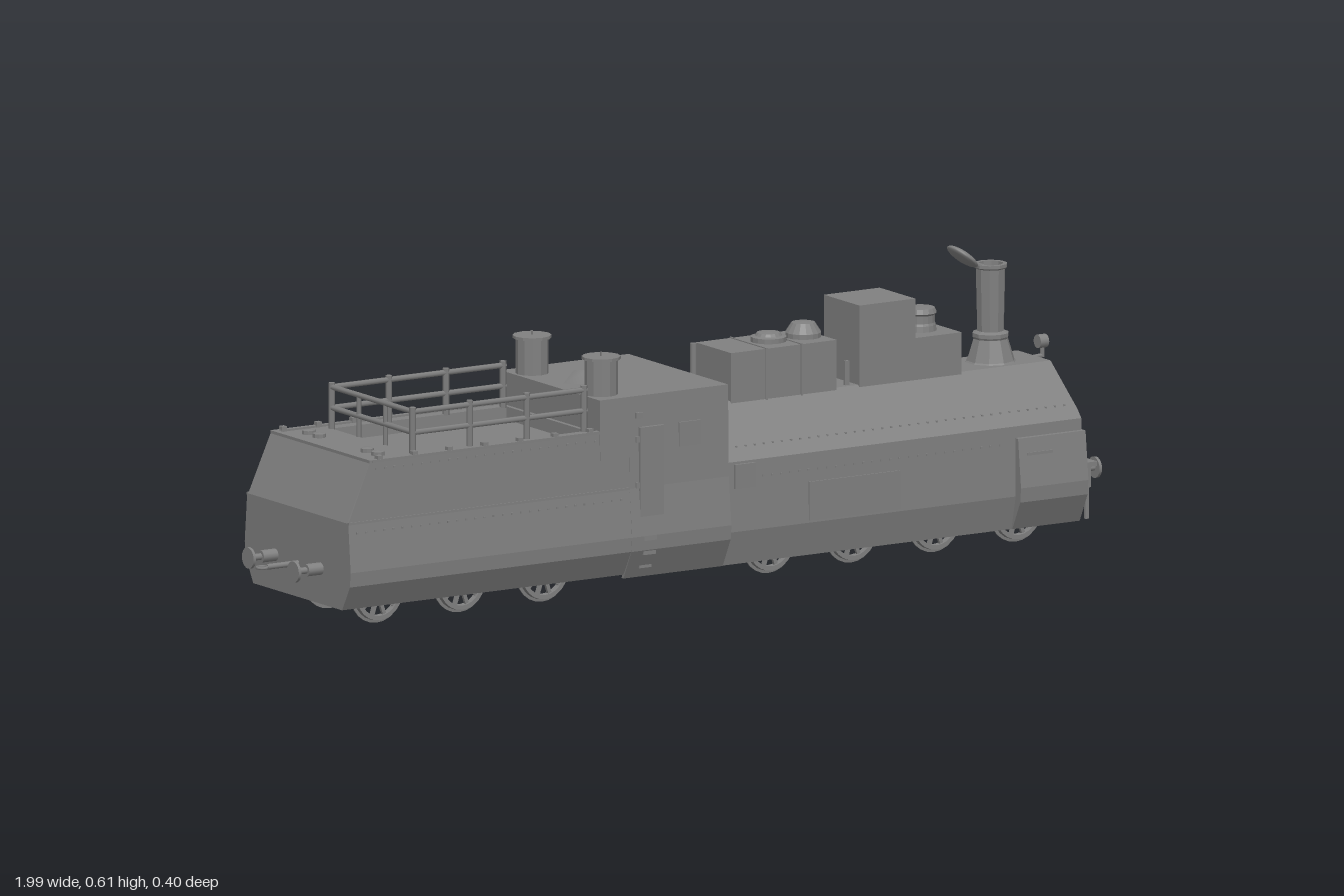
import * as THREE from 'three';
import { mergeGeometries } from 'three/addons/utils/BufferGeometryUtils.js';

const steel = new THREE.MeshStandardMaterial({ color: 0x808080 });
steel.name = 'grey steel';
steel.side = THREE.DoubleSide;

export function createModel() {
  const model = new THREE.Group();
  model.name = 'armouredLocomotive';

  const add = (name, geo, x = 0, y = 0, z = 0) => {
    const m = new THREE.Mesh(geo, steel);
    m.name = name;
    m.position.set(x, y, z);
    model.add(m);
    return m;
  };
  const box = (name, x0, x1, y0, y1, z0, z1) =>
    add(name, new THREE.BoxGeometry(x1 - x0, y1 - y0, Math.abs(z1 - z0)), (x0 + x1) / 2, (y0 + y1) / 2, (z0 + z1) / 2);
  // Turned part about the vertical axis from [radius, height] pairs
  const turned = (name, pts, x, z, sides = 16) => {
    const g = new THREE.LatheGeometry(pts.map(p => new THREE.Vector2(...p)), sides).toNonIndexed();
    g.computeVertexNormals();
    return add(name, g, x, 0, z);
  };
  // Rod between two points
  const rod = (name, a, b, r, sides = 8) => {
    const A = new THREE.Vector3(...a), B = new THREE.Vector3(...b), d = B.clone().sub(A);
    const m = add(name, new THREE.CylinderGeometry(r, r, d.length(), sides));
    m.position.copy(A).add(B).multiplyScalar(0.5);
    m.quaternion.setFromUnitVectors(new THREE.Vector3(0, 1, 0), d.normalize());
    return m;
  };
  // Hull through mirrored half sections: { x, half: [[z, y], ...] } running top to bottom
  const hull = (name, sections) => {
    const rings = sections.map(s => [...s.half, ...s.half.map(([z, y]) => [-z, y]).reverse()].map(([z, y]) => [s.x, y, z]));
    const pos = [], n = rings[0].length;
    const tri = (...ps) => ps.forEach(p => pos.push(...p));
    for (let k = 0; k + 1 < rings.length; k++) {
      const A = rings[k], B = rings[k + 1];
      for (let i = 0; i < n; i++) {
        const j = (i + 1) % n;
        tri(A[i], A[j], B[i]);
        tri(B[i], A[j], B[j]);
      }
    }
    [rings[0], rings[rings.length - 1]].forEach((R, end) => {
      const flat = R.map(p => new THREE.Vector2(p[1], p[2]));
      THREE.ShapeUtils.triangulateShape(flat, []).forEach(([a, b, c]) =>
        end ? tri(R[a], R[b], R[c]) : tri(R[a], R[c], R[b]));
    });
    const g = new THREE.BufferGeometry();
    g.setAttribute('position', new THREE.Float32BufferAttribute(pos, 3));
    g.computeVertexNormals();
    return add(name, g);
  };

  // Armoured hulls, hollow underneath around the wheels
  const hollow = y => [[0.16, y], [0.176, 0.1], [0.172, 0.135]];
  const tender = (top, well = top) => [[0.149, well], [0.15, top], [0.186, top], [0.19, 0.235], [0.199, 0.135],
    [0.196, 0.105], [0.167, 0.053], ...hollow(0.053)];
  hull('tenderHull', [
    { x: -0.9, half: tender(0.236) },
    { x: -0.845, half: tender(0.357) },
    { x: -0.721, half: tender(0.357) },
    { x: -0.72, half: tender(0.357, 0.33) },
    { x: -0.3, half: tender(0.357, 0.33) },
    { x: -0.299, half: tender(0.357) },
    { x: -0.2, half: tender(0.357) }]);
  const cab = [[0.187, 0.425], [0.19, 0.235], [0.2, 0.135], [0.197, 0.105], [0.167, 0.045], ...hollow(0.045)];
  const cabTop = [[0.187, 0.425], [0.189, 0.3]];
  hull('cabRear', [{ x: -0.29, half: cabTop }, { x: -0.22, half: cabTop }]);
  hull('cab', [{ x: -0.22, half: cab }, { x: 0.02, half: cab }]);
  const boiler = [[0.062, 0.36], [0.163, 0.277], [0.178, 0.26], [0.18, 0.115], [0.164, 0.045], ...hollow(0.045)];
  hull('boilerCasing', [{ x: 0.02, half: boiler }, { x: 0.88, half: boiler }]);
  const cheek = [[0.189, 0.236], [0.2, 0.135], [0.197, 0.105], [0.167, 0.045], ...hollow(0.045)];
  hull('frontCheekArmour', [{ x: 0.72, half: cheek }, { x: 0.883, half: cheek }]);

  // End plates closing the hollow skirts
  const skirt = y => [[0.174, 0.14], [0.176, 0.1], [0.161, y]];
  hull('rearEndPlate', [{ x: -0.9, half: skirt(0.053) }, { x: -0.89, half: skirt(0.053) }]);
  hull('frontEndPlate', [{ x: 0.872, half: skirt(0.045) }, { x: 0.882, half: skirt(0.045) }]);

  // Spoked wheels
  const rim = new THREE.LatheGeometry([[0.046, -0.007], [0.062, -0.007], [0.062, -0.004], [0.056, -0.003], [0.055, 0.008], [0.046, 0.008], [0.046, -0.007]]
    .map(p => new THREE.Vector2(...p)), 24).toNonIndexed();
  rim.computeVertexNormals();
  const wheelParts = [rim, new THREE.CylinderGeometry(0.016, 0.016, 0.02, 12).toNonIndexed()];
  for (let i = 0; i < 5; i++) {
    const spoke = new THREE.BoxGeometry(0.096, 0.007, 0.008).toNonIndexed();
    wheelParts.push(spoke.rotateY((i * Math.PI) / 5));
  }
  const wheelGeo = mergeGeometries(wheelParts).rotateX(Math.PI / 2);
  for (const x of [-0.767, -0.567, -0.367, 0.18, 0.38, 0.58, 0.778])
    for (const s of [1, -1]) add('wheel', wheelGeo, x, 0.062, s * 0.094).rotation.y = s > 0 ? 0 : Math.PI;

  // Railing around the coal well
  for (const s of [1, -1]) {
    for (const y of [0.4, 0.443]) rod('sideRail', [-0.72, y, s * 0.152], [-0.3, y, s * 0.152], 0.006, 6);
    for (let i = 0; i < 4; i++) {
      const x = -0.72 + i * 0.138;
      rod('railPost', [x, 0.355, s * 0.152], [x, 0.452, s * 0.152], 0.007, 6);
    }
    rod('endRailPost', [-0.72, 0.355, s * 0.05], [-0.72, 0.445, s * 0.05], 0.005, 6);
    box('roofEdgeStrip', -0.84, -0.29, 0.355, 0.361, s * 0.176, s * 0.187);
    for (let x = -0.82; x < -0.3; x += 0.085) box('roofEdgeLug', x - 0.006, x + 0.006, 0.355, 0.368, s * 0.174, s * 0.186);
    // Filler caps at the rear of the deck
    for (const z of [0.09, 0.13]) turned('fillerCap', [[0.014, 0.355], [0.014, 0.365], [0, 0.367]], -0.79, s * z, 10);
  }
  for (const y of [0.4, 0.443]) rod('endRail', [-0.72, y, -0.152], [-0.72, y, 0.152], 0.006, 6);
  box('rearEdgeStrip', -0.846, -0.834, 0.354, 0.361, -0.186, 0.186);

  for (const s of [1, -1]) {
    // Roof observation turrets
    turned('roofTurret', [[0.034, 0.42], [0.034, 0.498], [0.04, 0.498], [0.04, 0.504], [0, 0.504]], -0.25, s * 0.13, 12);
    rod('turretPin', [-0.25, 0.5, s * 0.13], [-0.25, 0.513, s * 0.13], 0.002, 6);
    // Cab doors with hinges and steps
    box('cabDoor', -0.197, -0.14, 0.155, 0.36, s * 0.184, s * 0.196);
    for (const y of [0.24, 0.335, 0.385]) box('doorHinge', -0.205, -0.19, y - 0.006, y + 0.006, s * 0.186, s * 0.193);
    for (const [y, z] of [[0.07, 0.18], [0.1, 0.196], [0.13, 0.2]]) box('step', -0.19, -0.16, y - 0.005, y + 0.005, s * (z - 0.02), s * z);
    // Side hatches
    box('boilerHatch', 0.04, 0.09, 0.205, 0.255, s * 0.17, s * 0.184);
    box('boilerPanel', 0.22, 0.44, 0.12, 0.2, s * 0.17, s * 0.182);
    box('cheekStrap', 0.74, 0.8, 0.2, 0.206, s * 0.185, s * 0.195);
    box('cabWindowFlap', -0.1, -0.05, 0.31, 0.36, s * 0.186, s * 0.192);
    box('seamStrip', -0.9, -0.22, 0.233, 0.238, s * 0.187, s * 0.192);
  }
  // Low diamond shaped roof cap
  const cap = add('roofCap', new THREE.CylinderGeometry(0.022, 0.05, 0.028, 4), -0.21, 0.437, 0);
  cap.scale.z = 0.75;

  // Boxes and fittings along the boiler top
  box('sandBox', 0.105, 0.36, 0.35, 0.46, -0.067, 0.067);
  for (const x of [0.19, 0.275]) box('sandBoxSeam', x - 0.002, x + 0.002, 0.352, 0.462, -0.069, 0.069);
  for (const [x, h] of [[0.238, 0.478], [0.322, 0.49]])
    turned('sandLid', [[0.037, 0.458], [0.037, 0.47], [0.028, h - 0.006], [0.024, h], [0, h + 0.002]], x, 0);
  box('tallBox', 0.415, 0.55, 0.35, 0.525, -0.067, 0.067);
  box('lowBox', 0.55, 0.662, 0.35, 0.443, -0.067, 0.067);
  turned('steamDome', [[0.034, 0.44], [0.032, 0.455], [0.03, 0.46], [0.03, 0.476], [0.034, 0.48], [0.03, 0.49], [0, 0.491]], 0.605, 0);
  rod('whistle', [0.057, 0.36, 0], [0.057, 0.475, 0], 0.007);
  rod('whistleArm', [0.02, 0.41, 0], [0.057, 0.41, 0], 0.005, 6);
  for (const s of [1, -1]) box('boxBracket', 0.39, 0.4, 0.35, 0.41, s * 0.045, s * 0.052);

  // Chimney with domed lid swung open behind it
  turned('chimney', [[0.062, 0.35], [0.05, 0.363], [0.036, 0.408], [0.038, 0.412], [0.038, 0.42], [0.028, 0.424],
    [0.031, 0.553], [0.035, 0.556], [0.035, 0.563], [0.026, 0.563], [0.022, 0.44], [0, 0.44]], 0.775, 0, 10);
  const lid = add('chimneyLid', new THREE.SphereGeometry(0.037, 20, 10), 0.707, 0.584, 0);
  lid.scale.y = 0.27;
  lid.rotation.z = -0.69;
  rod('lidHinge', [0.73, 0.567, 0], [0.755, 0.558, 0], 0.006, 6);

  // Hexagonal smokebox door with locking wheel
  const doorGeo = new THREE.CylinderGeometry(0.085, 0.085, 0.02, 6, 1, false, Math.PI / 6);
  add('smokeboxDoor', doorGeo.rotateZ(Math.PI / 2), 0.89, 0.254, 0);
  add('doorWheel', new THREE.TorusGeometry(0.018, 0.003, 6, 20).rotateY(Math.PI / 2), 0.903, 0.254, 0);
  rod('doorBoss', [0.895, 0.254, 0], [0.908, 0.254, 0], 0.007);
  rod('doorHandle', [0.905, 0.254, 0], [0.905, 0.21, 0], 0.003, 6);
  for (const s of [1, -1]) for (const y of [0.18, 0.255]) box('doorClamp', 0.88, 0.898, y - 0.008, y + 0.008, s * 0.082, s * 0.09);

  // Headlamp
  rod('lampArm', [0.86, 0.355, 0], [0.9, 0.358, 0], 0.005, 6);
  rod('lampPost', [0.9, 0.355, 0], [0.9, 0.38, 0], 0.005, 6);
  rod('headlamp', [0.888, 0.388, 0], [0.908, 0.388, 0], 0.014, 14);

  // Front beam and guard irons
  box('footboard', 0.88, 0.935, 0.15, 0.16, -0.152, 0.152);
  box('bufferBeam', 0.905, 0.92, 0.108, 0.152, -0.152, 0.152);
  box('beamCentre', 0.905, 0.92, 0.097, 0.11, -0.1, 0.1);
  for (const s of [1, -1]) {
    box('guardIron', 0.916, 0.924, 0.04, 0.15, s * 0.132, s * 0.138);
    box('beamBracket', 0.88, 0.91, 0.11, 0.15, s * 0.14, s * 0.148);
  }

  // Buffers and couplings at both ends
  const buffer = (x, dir, y, z) => {
    rod('bufferSleeve', [x, y, z], [x + dir * 0.035, y, z], 0.013, 12);
    rod('bufferRod', [x + dir * 0.03, y, z], [x + dir * 0.062, y, z], 0.007);
    rod('bufferHead', [x + dir * 0.06, y, z], [x + dir * 0.066, y, z], 0.022, 20);
  };
  for (const s of [1, -1]) {
    buffer(0.922, 1, 0.128, s * 0.066);
    buffer(-0.9, -1, 0.126, s * 0.085);
  }
  rod('frontHook', [0.9, 0.125, 0], [0.95, 0.125, 0], 0.006);
  rod('rearDrawbar', [-0.89, 0.123, 0], [-0.975, 0.123, 0], 0.006);
  add('rearCouplingLink', new THREE.TorusGeometry(0.011, 0.003, 6, 14).rotateX(Math.PI / 2), -0.986, 0.123, 0);

  // Rivet rows along the armour
  const rivets = [];
  const row = (x0, x1, y, z) => {
    for (let x = x0; x <= x1; x += 0.022) for (const s of [1, -1])
      rivets.push(new THREE.BoxGeometry(0.004, 0.004, 0.004).translate(x, y, s * z));
  };
  row(-0.83, -0.3, 0.342, 0.1865);
  row(-0.88, -0.23, 0.215, 0.192);
  row(0.04, 0.86, 0.285, 0.153);
  row(0.11, 0.7, 0.225, 0.1785);
  add('rivets', mergeGeometries(rivets));

  return model;
}
